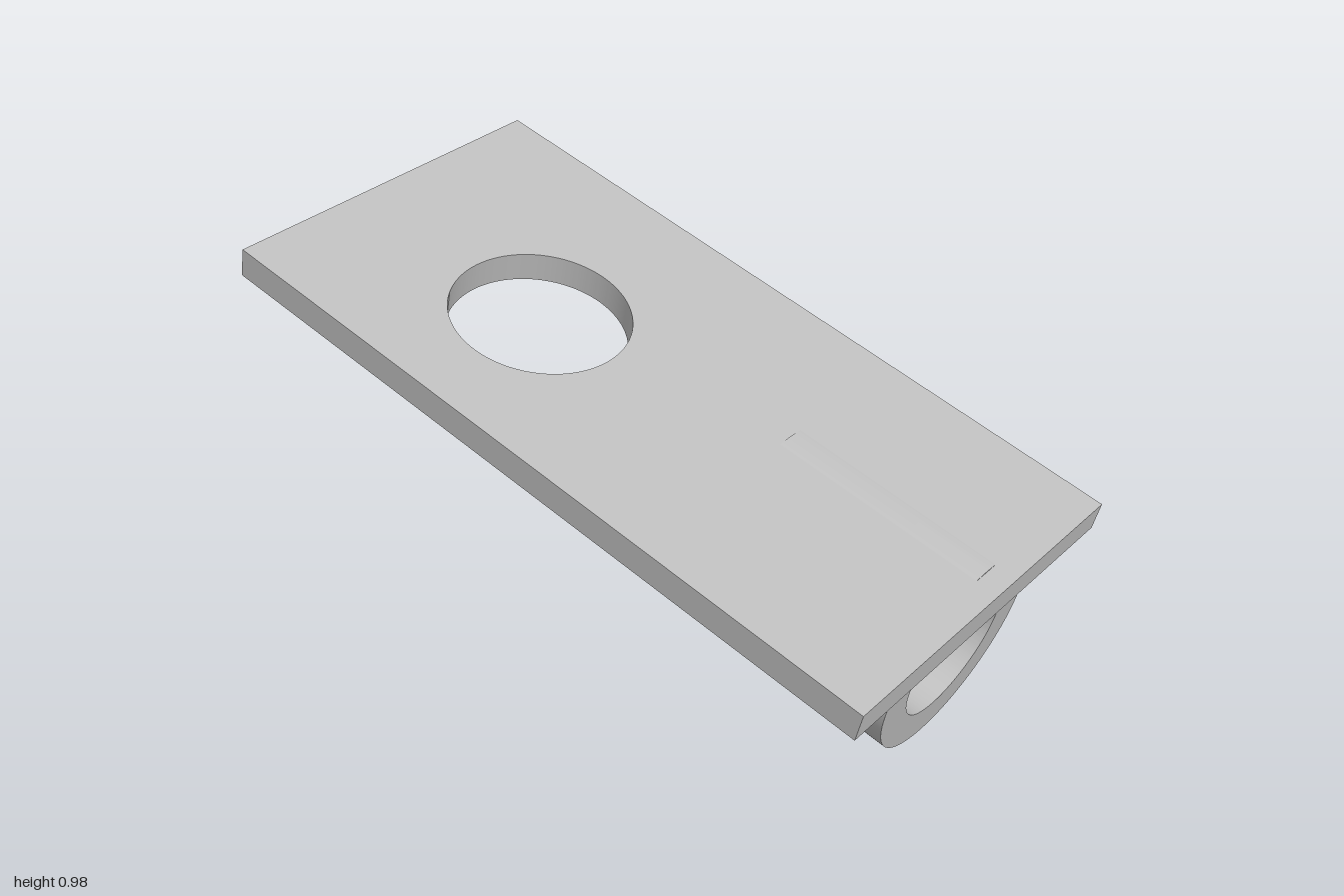
import * as THREE from 'three';
import { toCreasedNormals } from 'three/addons/utils/BufferGeometryUtils.js';

const grey = new THREE.MeshStandardMaterial({ color: 0xbfbfbf });
grey.name = 'grey';

// Extrudes a shape with a round hole, keeping curved walls smooth and edges sharp
function extrudeWithHole(shape, holeX, holeY, holeRadius, depth) {
  const hole = new THREE.Path();
  hole.absarc(holeX, holeY, holeRadius, 0, Math.PI * 2, true);
  shape.holes.push(hole);
  const geometry = new THREE.ExtrudeGeometry(shape, { depth, bevelEnabled: false, curveSegments: 96 });
  return toCreasedNormals(geometry, 0.5);
}

function addPart(group, name, geometry) {
  const mesh = new THREE.Mesh(geometry, grey);
  mesh.name = name;
  group.add(mesh);
}

export function createModel() {
  const model = new THREE.Group();
  model.name = 'plateWithSleeve';

  // Everything is built level, then tilted together
  const tilted = new THREE.Group();
  tilted.name = 'tiltedAssembly';
  tilted.rotation.z = -THREE.MathUtils.degToRad(12.5);
  model.add(tilted);

  // Flat plate with a large round hole
  const x0 = -1.171, x1 = 0.857, halfWidth = 0.508;
  const outline = new THREE.Shape([
    new THREE.Vector2(x0, -halfWidth), new THREE.Vector2(x1, -halfWidth),
    new THREE.Vector2(x1, halfWidth), new THREE.Vector2(x0, halfWidth),
  ]);
  const plate = extrudeWithHole(outline, -0.523, -0.073, 0.24, 0.083);
  plate.rotateX(-Math.PI / 2).translate(0, 0.671, 0);
  addPart(tilted, 'plate', plate);

  // Open sleeve under the plate, its crest just breaking through the top face
  const ring = new THREE.Shape();
  ring.absarc(0, 0, 0.288, 0, Math.PI * 2, false);
  const sleeve = extrudeWithHole(ring, 0, 0, 0.189, 0.598);
  sleeve.rotateY(Math.PI / 2).translate(0.196, 0.469, -0.073);
  addPart(tilted, 'sleeve', sleeve);

  return model;
}
